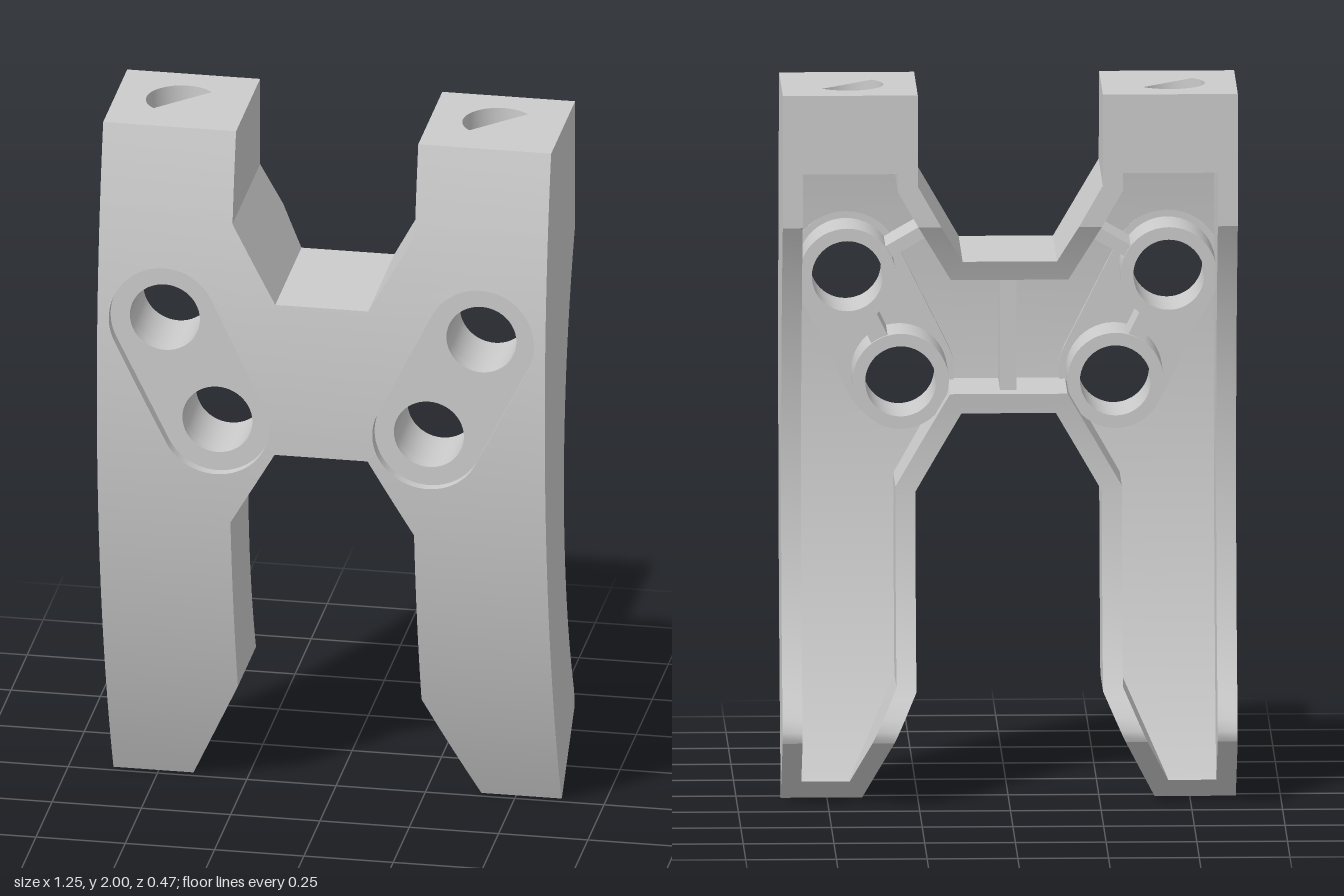
import * as THREE from 'three';
import { mergeGeometries, toCreasedNormals } from 'three/addons/utils/BufferGeometryUtils.js';

const T = 0.055;      // shell thickness
const TOP = 1.78;     // ceiling of the hollow, underside of the solid blocks
const V = (x, y) => new THREE.Vector2(x, y);
const material = new THREE.MeshStandardMaterial({ color: 0xcccccc });

// Side profile: z of the curved front, the curved back and the plate's inside
const arc = (y, apex, yc, r) => apex - r + Math.sqrt(r * r - (y - yc) ** 2);
const front = (y) => arc(y, 0.237, 1.23, 3.05);
const back = (y) => Math.max(arc(y, -0.06, 0.92, 1.53), y < 0.9 ? -0.226 : -0.235, -0.03 - 1.03 * y);
const inside = (y) => Math.max(front(y) - T, back(y));

// Heights at which flat extrusions are cut so that they can bend
const levels = [0.185, 0.2, 0.215, 1.63];
for (let i = 0; i <= 40; i++) levels.push(i * 0.05);
levels.sort((a, b) => a - b);

// Keep the part of a polygon above (sign 1) or below (sign -1) a height
function clip(poly, h, sign) {
  const out = [];
  poly.forEach((a, i) => {
    const b = poly[(i + 1) % poly.length];
    const da = (a.y - h) * sign, db = (b.y - h) * sign;
    if (da >= 0) out.push(a);
    if (da * db < 0) out.push(a.clone().lerp(b, da / (da - db)));
  });
  return out;
}

// Extrude a front-view shape and bend it between two profile curves
function bend(shape, lo, hi) {
  const g = new THREE.ExtrudeGeometry(shape, { depth: 1, bevelEnabled: false, curveSegments: 24 });
  const p = (g.index ? g.toNonIndexed() : g).attributes.position;
  const pos = [];
  for (let i = 0; i < p.count; i += 3) {
    const tri = [0, 1, 2].map((k) => new THREE.Vector3().fromBufferAttribute(p, i + k));
    const min = Math.min(...tri.map((v) => v.y)), max = Math.max(...tri.map((v) => v.y));
    for (let j = 0; j < levels.length - 1; j++) {
      if (levels[j] > max || levels[j + 1] < min) continue;
      const poly = clip(clip(tri, levels[j], 1), levels[j + 1], -1)
        .map((v) => new THREE.Vector3(v.x, v.y, THREE.MathUtils.lerp(lo(v.y), hi(v.y), v.z)));
      for (let k = 1; k < poly.length - 1; k++) {
        const t = [poly[0], poly[k], poly[k + 1]];
        if (new THREE.Triangle(...t).getArea() > 1e-9) t.forEach((v) => pos.push(v.x, v.y, v.z));
      }
    }
  }
  const out = new THREE.BufferGeometry();
  out.setAttribute('position', new THREE.Float32BufferAttribute(pos, 3));
  return out;
}

// Straight extrusion from z0 to z1
function slab(shape, z0, z1) {
  const g = new THREE.ExtrudeGeometry(shape, { depth: z1 - z0, bevelEnabled: false, curveSegments: 24 });
  return g.translate(0, 0, z0);
}

// Rounded slot around two centres
function slotShape(a, b, r) {
  const t = Math.atan2(a.y - b.y, a.x - b.x), q = Math.PI / 2;
  const s = new THREE.Shape();
  s.absarc(a.x, a.y, r, t - q, t + q, false);
  s.absarc(b.x, b.y, r, t + q, t + 3 * q, false);
  s.closePath();
  return s;
}

function circle(c, r) {
  const s = new THREE.Shape();
  s.absarc(c.x, c.y, r, 0, Math.PI * 2, false);
  return s;
}

// Thin rib between two points in the front view
function rib(a, b, w, z0, z1) {
  const d = b.clone().sub(a), n = V(-d.y, d.x).setLength(w / 2);
  return slab(new THREE.Shape([a.clone().add(n), a.clone().sub(n), b.clone().sub(n), b.clone().add(n)]), z0, z1);
}

export function createModel() {
  const model = new THREE.Group();
  const add = (name, geometry) => {
    const mesh = new THREE.Mesh(toCreasedNormals(geometry, 0.4), material);
    mesh.name = name;
    model.add(mesh);
  };

  // H-shaped outline, clockwise, mirrored to the other side
  const half = [V(0.13, 1.525), V(0.255, 1.745), V(0.255, TOP), V(0.627, TOP), V(0.627, 0),
    V(0.403, 0), V(0.257, 0.32), V(0.257, 0.86), V(0.13, 1.08)];
  const outline = [...half, ...half.map((p) => V(-p.x, p.y)).reverse()];
  const n = outline.length;
  const normal = (i) => {
    const d = outline[(i + 1) % n].clone().sub(outline[i % n]);
    return V(d.y, -d.x).normalize();
  };
  const inset = outline.map((p, i) => {
    const a = normal(i + n - 1), b = normal(i);
    const q = p.clone().addScaledVector(a.clone().add(b), T / (1 + a.dot(b)));
    if (p.y === TOP) q.y = TOP;
    return q;
  });

  // Walls round the rim, open at the back
  const walls = [];
  for (let i = 0; i < n; i++) {
    const j = (i + 1) % n;
    if (outline[i].y === TOP && outline[j].y === TOP) continue;
    walls.push(bend(new THREE.Shape([outline[i], outline[j], inset[j], inset[i]]), back, inside));
  }
  add('rimWalls', mergeGeometries(walls));

  // Curved front plate with the two slots cut out
  const plate = new THREE.Shape(outline);
  const sides = [1, -1].map((s) => ({ s, name: s > 0 ? 'left' : 'right', a: V(s * 0.443, 1.455), b: V(s * 0.296, 1.16) }));
  sides.forEach(({ a, b }) => plate.holes.push(slotShape(a, b, 0.152)));
  add('frontPlate', bend(plate, inside, front));

  sides.forEach(({ s, name, a, b }) => {
    // Recessed slot floor with two holes
    const floor = slotShape(a, b, 0.152);
    floor.holes.push(circle(a, 0.098), circle(b, 0.098));
    add(name + 'SlotFloor', slab(floor, 0.16, 0.2));

    // Tubular bosses behind the holes
    [a, b].forEach((c, i) => {
      const ring = circle(c, 0.133);
      ring.holes.push(circle(c, 0.098));
      add(name + (i ? 'LowerBoss' : 'UpperBoss'), slab(ring, -0.01, 0.165));
    });

    // Ribs tying the bosses to each other and to the rim
    const along = a.clone().sub(b).normalize();
    const toRim = V(-s * 0.86, 0.5);
    add(name + 'BossRibs', mergeGeometries([
      rib(b.clone().addScaledVector(along, 0.12), a.clone().addScaledVector(along, -0.12), 0.05, 0, 0.17),
      rib(a.clone().addScaledVector(toRim, 0.12), a.clone().addScaledVector(toRim, 0.24), 0.035, 0, 0.17),
    ]));

    // Solid top block with a vertical hole; its front follows the curve
    const x0 = s * 0.255, x1 = s * 0.627;
    const block = new THREE.Shape([V(x0, -1), V(x1, -1), V(x1, 0.235), V(x0, 0.235)]);
    block.holes.push(circle(V(s * 0.443, 0.055), 0.098));
    const g = new THREE.ExtrudeGeometry(block, { depth: 2 - TOP, steps: 5, bevelEnabled: false, curveSegments: 24 });
    g.rotateX(-Math.PI / 2).translate(0, TOP, 0);
    const p = g.attributes.position;
    for (let i = 0; i < p.count; i++) if (p.getZ(i) > 0.9) p.setZ(i, front(p.getY(i)));
    add(name + 'TopBlock', g);
  });

  // Upright rib in the middle of the bridge
  add('bridgeRib', rib(V(0, 1.1), V(0, 1.5), 0.045, -0.01, 0.19));
  return model;
}
